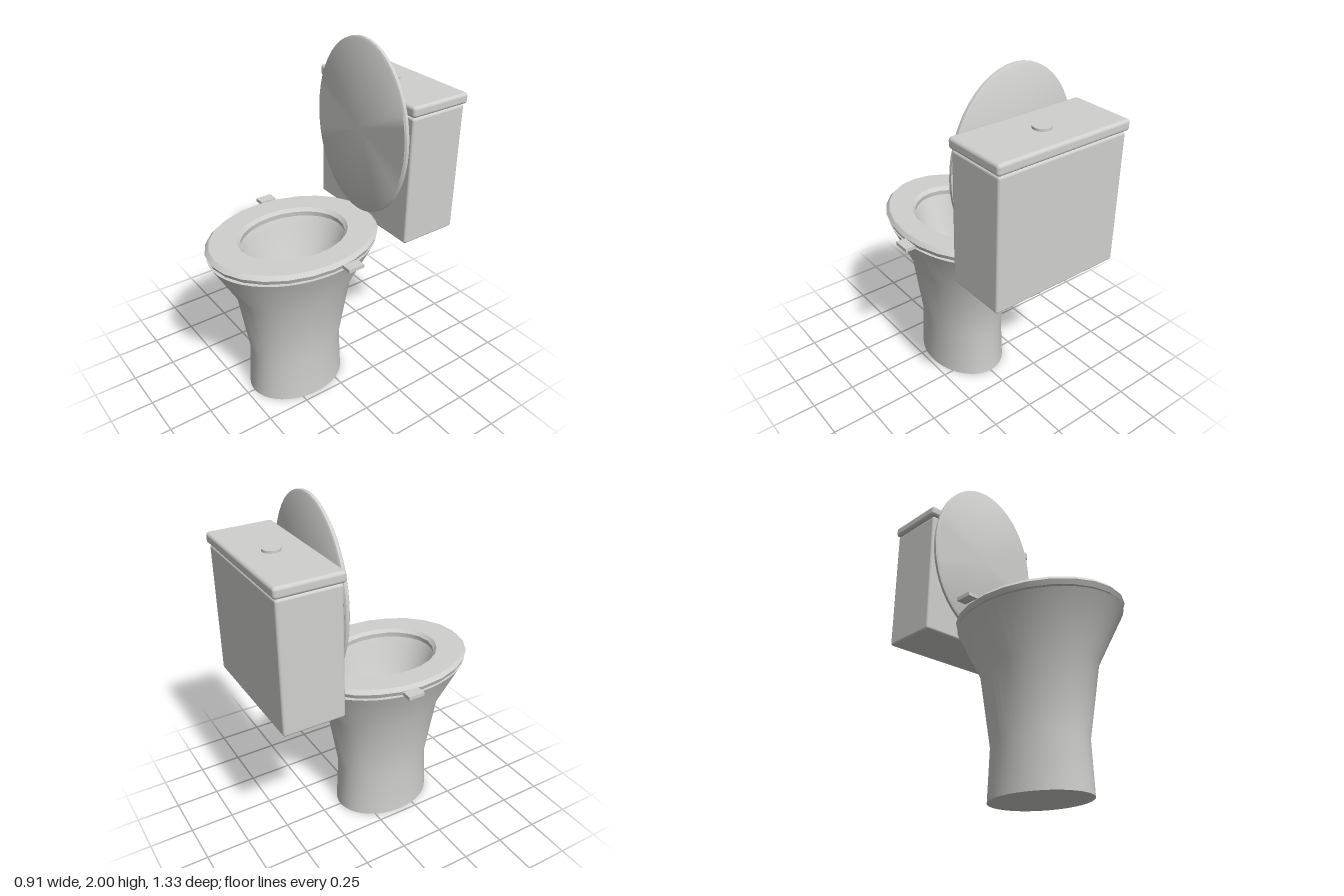
import * as THREE from 'three';
import { toCreasedNormals } from 'three/addons/utils/BufferGeometryUtils.js';
import { RoundedBoxGeometry } from 'three/addons/geometries/RoundedBoxGeometry.js';

const BOWL_Z = 0.16;   // centre of the bowl
const STRETCH = 1.31;  // the bowl is longer than it is wide

export function createModel() {
  const group = new THREE.Group();
  const ceramic = new THREE.MeshStandardMaterial({ color: 0xd0d0ce });
  ceramic.name = 'ceramic';
  const waterBlue = new THREE.MeshStandardMaterial({ color: 0xb6ced8 });
  waterBlue.name = 'waterBlue';

  function add(name, geometry, x, y, z, material = ceramic) {
    const mesh = new THREE.Mesh(geometry, material);
    mesh.name = name;
    mesh.position.set(x, y, z);
    group.add(mesh);
    return mesh;
  }

  // Turned profile stretched along z into an oval
  function oval(points, segments, stretch, crease = 0.6) {
    const profile = points.map(([r, y]) => new THREE.Vector2(r, y));
    const geometry = new THREE.LatheGeometry(profile, segments);
    geometry.scale(1, 1, stretch);
    return toCreasedNormals(geometry, crease);
  }

  // Pedestal and bowl: foot, waist, flare, rim, then down the inside
  add('bowl', oval([
    [0, 0], [0.225, 0], [0.215, 0.28], [0.265, 0.67], [0.38, 0.94],
    [0.25, 0.945], [0.235, 0.9], [0.2, 0.76], [0.135, 0.6], [0, 0.58],
  ], 48, STRETCH), 0, 0, BOWL_Z);

  // Water at the bottom of the bowl
  const water = new THREE.CircleGeometry(0.136, 24);
  water.rotateX(-Math.PI / 2);
  water.scale(1, 1, STRETCH);
  add('water', water, 0, 0.603, BOWL_Z, waterBlue);

  // Seat ring with bevelled edges
  add('seat', oval([
    [0.238, 0.952], [0.38, 0.952], [0.39, 0.978], [0.373, 1.0],
    [0.25, 1.0], [0.235, 0.98], [0.238, 0.952],
  ], 24, 1.295, 0.5), 0, 0, BOWL_Z);

  // Raised oval lid
  const lid = oval([
    [0, -0.015], [0.37, -0.015], [0.38, -0.008], [0.38, 0.008], [0.37, 0.015], [0, 0.015],
  ], 48, 0.495 / 0.38);
  lid.rotateX(Math.PI / 2);
  add('lid', lid, 0, 1.505, -0.29);

  // Small tabs beside the seat
  for (const side of [1, -1]) {
    add(side > 0 ? 'leftTab' : 'rightTab', new THREE.BoxGeometry(0.058, 0.02, 0.095), side * 0.426, 0.98, 0.072);
  }

  // Cistern with cover and flush button
  add('tank', new RoundedBoxGeometry(0.77, 0.73, 0.345, 3, 0.014), 0, 1.315, -0.4825);
  add('tankCover', new RoundedBoxGeometry(0.796, 0.06, 0.367, 3, 0.018), 0, 1.715, -0.4835);
  add('flushButton', new THREE.CylinderGeometry(0.048, 0.048, 0.02, 32), 0, 1.748, -0.487);

  return group;
}
